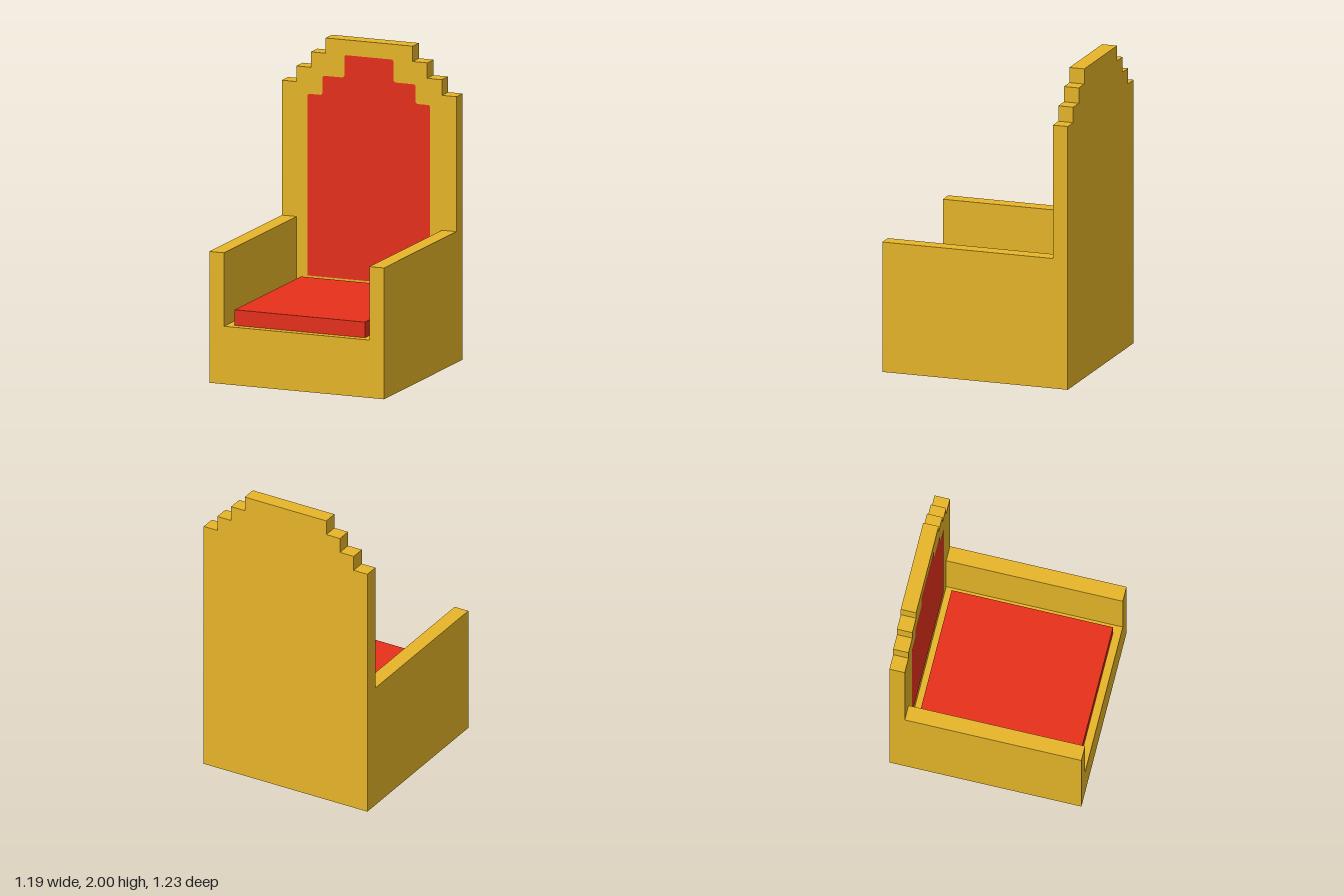
import * as THREE from 'three';

const HALF_W = 0.594, HALF_D = 0.617, BACK_FRONT = -0.518;
const SEAT_Y = 0.37, ARM_Y = 0.84, ARM_INNER = 0.495;

// Mirrors a right-hand outline (listed bottom to top) into a closed symmetric shape
function mirroredShape(half) {
  const left = half.map(([x, y]) => [-x, y]).reverse();
  return new THREE.Shape([...half, ...left].map(([x, y]) => new THREE.Vector2(x, y)));
}

// Outline that narrows upward in steps with slightly cut corners; steps are [halfWidth, topY]
function steppedShape(bottom, steps, cut) {
  const half = [[steps[0][0], bottom]];
  steps.forEach(([x, top], i) => {
    half.push([x, top - cut], [x - cut, top]);
    if (i < steps.length - 1) {
      const nextX = steps[i + 1][0];
      half.push([nextX + cut, top], [nextX, top + cut]);
    }
  });
  return mirroredShape(half);
}

function slab(name, shape, z0, z1, material) {
  const geometry = new THREE.ExtrudeGeometry(shape, { depth: z1 - z0, bevelEnabled: false });
  geometry.translate(0, 0, z0);
  const mesh = new THREE.Mesh(geometry, material);
  mesh.name = name;
  return mesh;
}

export function createModel() {
  const gold = new THREE.MeshStandardMaterial({ color: 0xe6b529 });
  gold.name = 'gold';
  const red = new THREE.MeshStandardMaterial({ color: 0xe7301b });
  red.name = 'red';

  const chair = new THREE.Group();
  chair.name = 'throne';

  // Seat block and both armrests as one U-shaped section
  const seat = mirroredShape([[HALF_W, 0], [HALF_W, ARM_Y], [ARM_INNER, ARM_Y], [ARM_INNER, SEAT_Y]]);
  chair.add(slab('seatAndArms', seat, BACK_FRONT, HALF_D, gold));

  // Tall backrest with a stepped crown
  const back = mirroredShape([
    [HALF_W, 0], [HALF_W, 1.703], [0.495, 1.703], [0.495, 1.803],
    [0.395, 1.803], [0.395, 1.902], [0.296, 1.902], [0.296, 2],
  ]);
  chair.add(slab('backrest', back, -HALF_D, BACK_FRONT, gold));

  // Flat upholstered panel on the front of the backrest
  const panelShape = steppedShape(0.47, [[0.417, 1.633], [0.317, 1.757], [0.168, 1.902]], 0.01);
  const panel = new THREE.Mesh(new THREE.ShapeGeometry(panelShape), red);
  panel.name = 'backPanel';
  panel.position.z = BACK_FRONT + 0.002;
  chair.add(panel);

  // Seat cushion
  const cushion = new THREE.Mesh(new THREE.BoxGeometry(0.888, 0.1, 1.038), red);
  cushion.name = 'cushion';
  cushion.position.set(0, SEAT_Y + 0.05, 0.048);
  chair.add(cushion);

  return chair;
}
